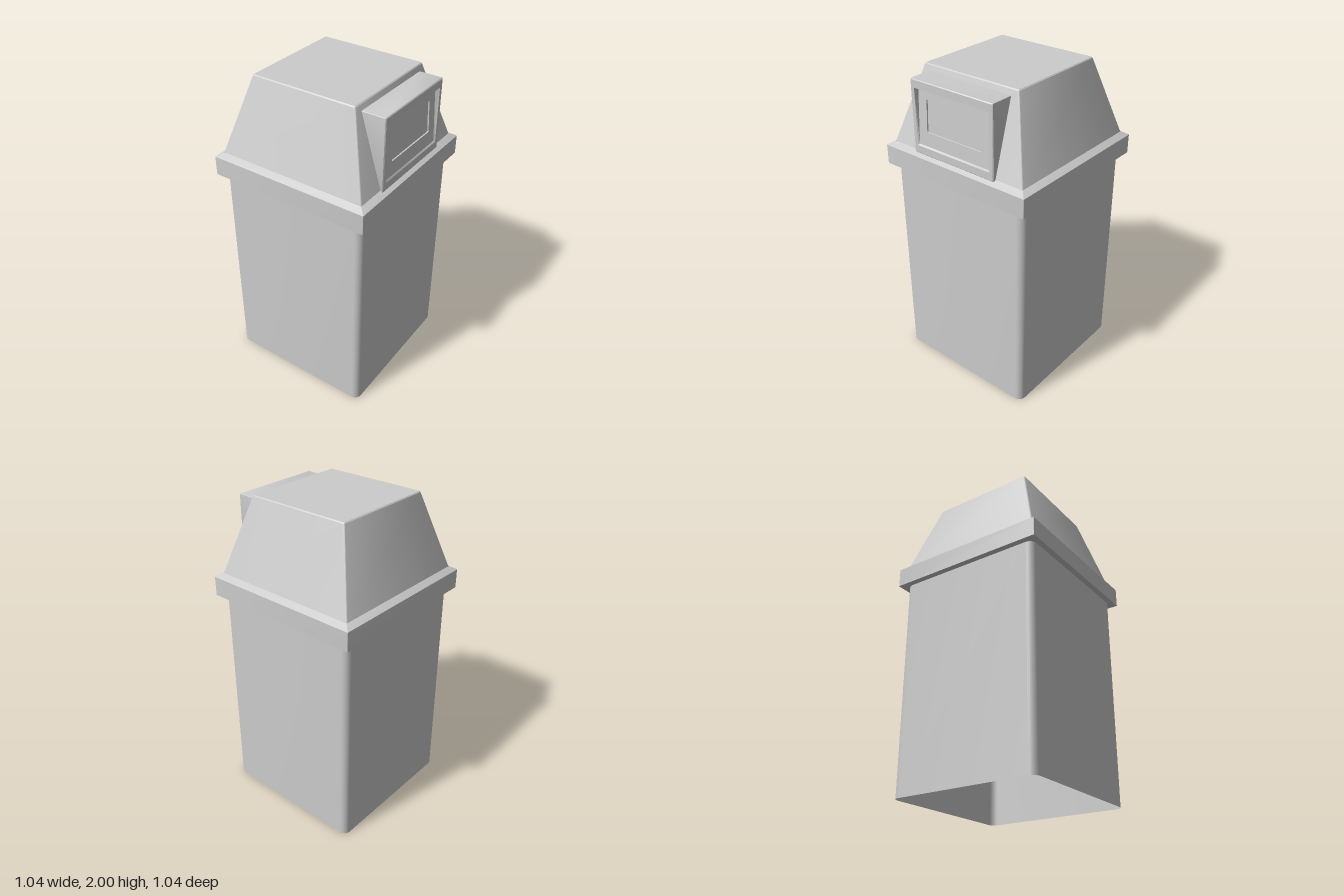
import * as THREE from 'three';
import { toCreasedNormals } from 'three/addons/utils/BufferGeometryUtils.js';

const SEGMENTS = 6; // facets per rounded corner

// Counter-clockwise rounded rectangle with half sizes w, h and corner radius r
function roundedRect(w, h, r) {
  const points = [];
  for (let corner = 0; corner < 4; corner++) {
    const sx = corner === 0 || corner === 3 ? 1 : -1;
    const sy = corner < 2 ? 1 : -1;
    for (let i = 0; i <= SEGMENTS; i++) {
      const a = (corner + i / SEGMENTS) * Math.PI / 2;
      points.push([sx * (w - r) + r * Math.cos(a), sy * (h - r) + r * Math.sin(a)]);
    }
  }
  return points;
}

// Horizontal square ring at height y
const level = (half, y, r) =>
  roundedRect(half, half, r).map(([u, v]) => new THREE.Vector3(u, y, -v));

// Upright ring between two heights, its depth running from zBottom to zTop
function upright(half, bottom, top, zBottom, zTop, r) {
  const mid = (bottom + top) / 2;
  return roundedRect(half, (top - bottom) / 2, r).map(([u, v]) => {
    const y = mid + v;
    const t = (y - bottom) / (top - bottom);
    return new THREE.Vector3(u, y, zBottom + (zTop - zBottom) * t);
  });
}

// Skin a series of rings, optionally closing the last one
function loft(rings, capEnd) {
  const n = rings[0].length;
  const index = [];
  for (let i = 0; i < rings.length - 1; i++) {
    for (let j = 0; j < n; j++) {
      const a = i * n + j;
      const b = i * n + (j + 1) % n;
      index.push(a, b, b + n, a, b + n, a + n);
    }
  }
  if (capEnd) {
    const s = (rings.length - 1) * n;
    for (let j = 1; j < n - 1; j++) index.push(s, s + j, s + j + 1);
  }
  const geometry = new THREE.BufferGeometry().setFromPoints(rings.flat());
  geometry.setIndex(index);
  return toCreasedNormals(geometry, 0.45);
}

export function createModel() {
  const group = new THREE.Group();
  const material = new THREE.MeshStandardMaterial({ color: 0xcccccc, side: THREE.DoubleSide });
  const add = (name, geometry) => {
    const mesh = new THREE.Mesh(geometry, material);
    mesh.name = name;
    group.add(mesh);
  };

  // Square bin body, open underneath
  add('body', loft([level(0.483, 0, 0.045), level(0.483, 1.38, 0.045)], false));

  // Overhanging rim with a sloped shoulder
  add('rim', loft([
    level(0.483, 1.38, 0.045),
    level(0.521, 1.38, 0.004),
    level(0.521, 1.5, 0.004),
    level(0.483, 1.525, 0.008),
  ], false));

  // Tapered hood with a flat, softly edged top
  add('hood', loft([
    level(0.483, 1.525, 0.012),
    level(0.342, 1.994, 0.012),
    level(0.336, 2, 0.008),
  ], true));

  // Chute housing on the front slope, with a recess in its face
  add('chuteHousing', loft([
    upright(0.298, 1.515, 1.963, 0.482, 0.35, 0.004),
    upright(0.298, 1.515, 1.963, 0.495, 0.495, 0.004),
    upright(0.293, 1.52, 1.958, 0.5, 0.5, 0.004),
    upright(0.27, 1.565, 1.912, 0.5, 0.5, 0.004),
    upright(0.262, 1.574, 1.905, 0.492, 0.475, 0.004),
  ], false));

  // Swing flap, leaning back at the top, with a shallow inset panel
  add('swingFlap', loft([
    upright(0.262, 1.574, 1.905, 0.492, 0.475, 0.004),
    upright(0.2, 1.66, 1.853, 0.4876, 0.4777, 0.002),
    upright(0.199, 1.661, 1.852, 0.4796, 0.4697, 0.002),
  ], true));

  return group;
}
